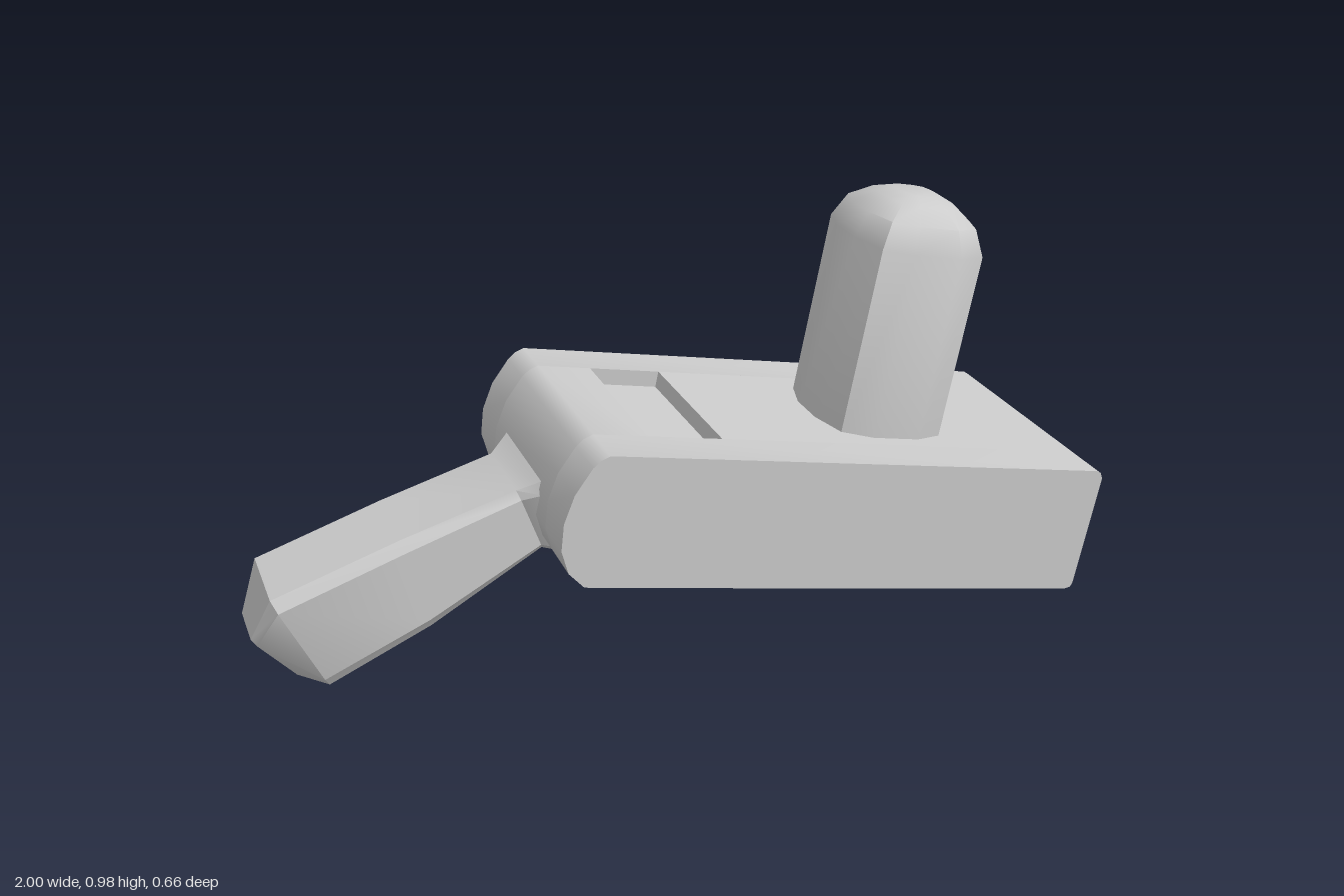
import * as THREE from 'three';
import { toCreasedNormals } from 'three/addons/utils/BufferGeometryUtils.js';

const material = new THREE.MeshStandardMaterial({ color: 0xcccccc });

function addMesh(parent, name, geometry, crease) {
  const mesh = new THREE.Mesh(toCreasedNormals(geometry, crease), material);
  mesh.name = name;
  parent.add(mesh);
  return mesh;
}

// Skin a list of equal-length rings of [x, y, z] points and cap both ends.
function loft(rings) {
  const n = rings[0].length;
  const last = rings.length - 1;
  const index = [];
  for (let i = 0; i < last; i++) {
    for (let j = 0; j < n; j++) {
      const k = (j + 1) % n;
      const a = i * n + j, b = i * n + k, c = b + n, d = a + n;
      index.push(a, d, b, b, d, c);
    }
  }
  for (let j = 1; j < n - 1; j++) {
    index.push(0, j, j + 1);
    index.push(last * n, last * n + j + 1, last * n + j);
  }
  const geometry = new THREE.BufferGeometry();
  geometry.setAttribute('position', new THREE.Float32BufferAttribute(rings.flat(2), 3));
  geometry.setIndex(index);
  return geometry.toNonIndexed();
}

// Side profile of the body; the notch is the shallow pocket in its top.
const topY = (x) => 0.575 - 0.1943 * (x + 0.24);
const notch = [
  [-0.11, topY(-0.11)], [-0.118, topY(-0.11) - 0.039],
  [0.057, topY(0.065) - 0.039], [0.065, topY(0.065)],
];
function bodySlab(z0, z1, cut) {
  const points = [
    [-0.24, 0.575], ...cut, [0.985, 0.337], [0.995, 0.33], [1, 0.315],
    [0.946, 0.042], [0.94, 0.031], [0.925, 0.029],
    [-0.26, 0.258], [-0.305, 0.268], [-0.34, 0.308], [-0.355, 0.365],
    [-0.348, 0.43], [-0.322, 0.495], [-0.28, 0.552], [-0.262, 0.567],
  ].map(([x, y]) => new THREE.Vector2(x, y));
  const geometry = new THREE.ExtrudeGeometry(new THREE.Shape(points), { depth: z1 - z0, bevelEnabled: false });
  return geometry.translate(0, 0, z0);
}

export function createModel() {
  const model = new THREE.Group();
  model.name = 'leverSwitch';

  // Body: two solid sides and a notched middle
  const body = new THREE.Group();
  body.name = 'body';
  addMesh(body, 'leftSide', bodySlab(0.21, 0.33, []), 0.6);
  addMesh(body, 'pocketSection', bodySlab(-0.21, 0.21, notch), 0.6);
  addMesh(body, 'rightSide', bodySlab(-0.33, -0.21, []), 0.6);
  model.add(body);

  // Peg: bulged square section with a rounded top, square to the sloping body
  const half = [[0.16, -0.05], [0.16, 0.05], [0.132, 0.14], [0.06, 0.17], [-0.06, 0.17], [-0.132, 0.14]];
  const section = [...half, ...half.map(([x, z]) => [-x, -z])];
  const pegRings = [[-0.04, 1], [0.45, 1], [0.51, 0.84], [0.545, 0.55], [0.56, 0.32]]
    .map(([y, s]) => section.map(([x, z]) => [x * s, y, z * s]));
  const peg = addMesh(model, 'peg', loft(pegRings), 0.6);
  peg.position.set(0.525, 0.426, 0);
  peg.rotation.z = -0.192;

  // Lever: chamfered bar, each station is [top x, top y, bottom x, bottom y, half width]
  const stations = [
    [-1, 0.13, -0.895, 0.014, 0.075],
    [-0.955, 0.242, -0.84, 0.004, 0.125],
    [-0.66, 0.338, -0.6, 0.11, 0.125],
    [-0.39, 0.415, -0.335, 0.262, 0.125],
    [-0.35, 0.44, -0.29, 0.258, 0.16],
    [-0.31, 0.47, -0.22, 0.256, 0.19],
  ];
  const outline = [[0, 0.84], [0, -0.84], [0.11, -1], [0.89, -1], [1, -0.84], [1, 0.84], [0.89, 1], [0.11, 1]];
  const leverRings = stations.map(([tx, ty, bx, by, w]) =>
    outline.map(([t, z]) => [tx + (bx - tx) * t, ty + (by - ty) * t, z * w]));
  addMesh(model, 'lever', loft(leverRings), 0.6);

  return model;
}
